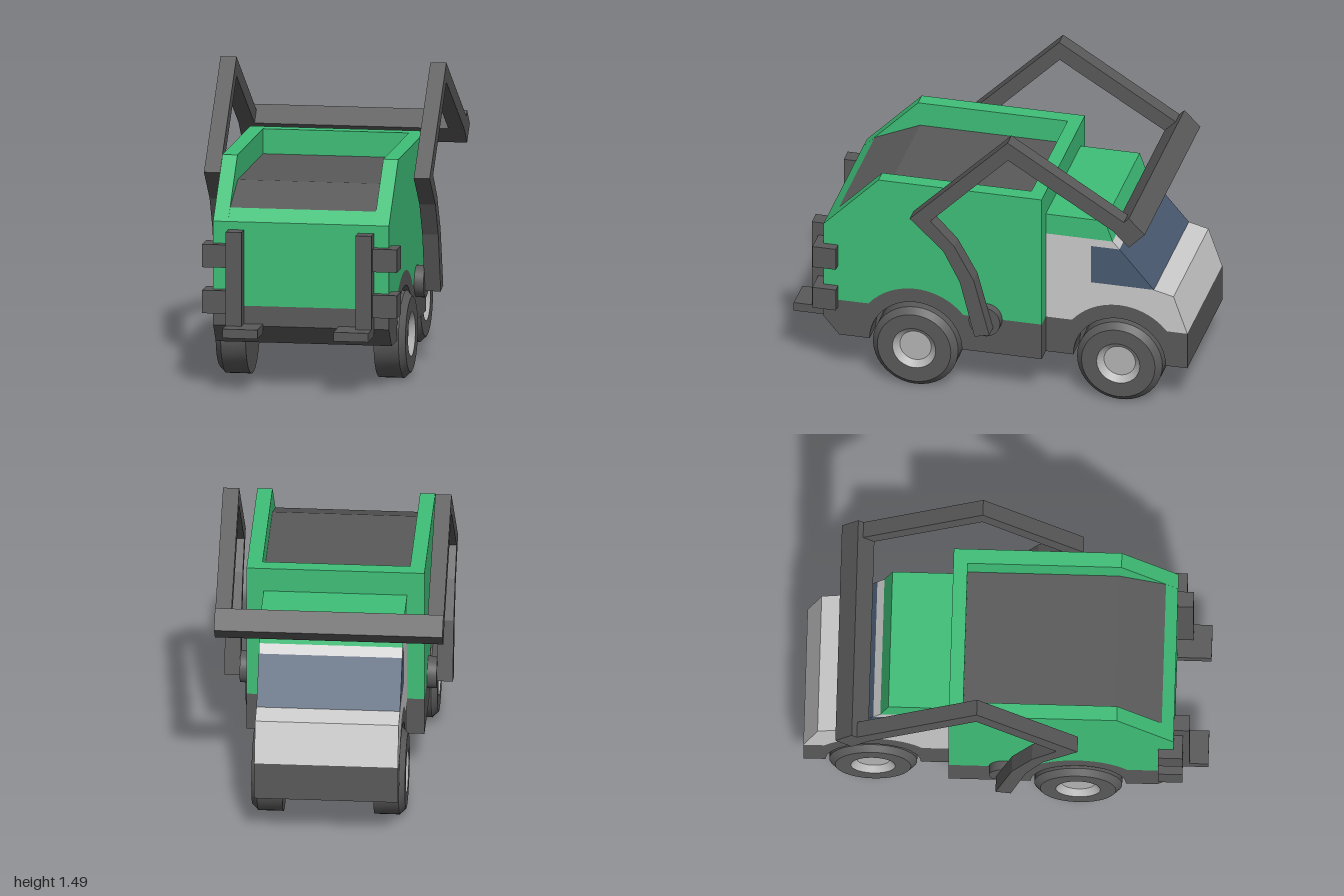
import * as THREE from 'three';
import { toCreasedNormals } from 'three/addons/utils/BufferGeometryUtils.js';

const paint = (color, flatShading = true) => new THREE.MeshStandardMaterial({ color, flatShading });
const WHEEL_Y = 0.225, ARCH_R = 0.31, WELL_R = 0.235, ARCH_A = Math.asin((0.42 - WHEEL_Y) / ARCH_R);
const REAR_Z = 0.36, CAB_Z = -0.655;

// Points of an arc around a wheel centre, as [z, y]
function arc(z, r, a0, a1, n = 24) {
  return Array.from({ length: n + 1 }, (_, i) => {
    const a = a0 + (a1 - a0) * i / n;
    return [z + r * Math.cos(a), WHEEL_Y + r * Math.sin(a)];
  });
}
const archOver = (z) => arc(z, ARCH_R, Math.PI - ARCH_A, ARCH_A);
const wheelWell = (z) => arc(z, WELL_R, 0, Math.PI);

export function createModel() {
  const model = new THREE.Group();
  const dark = paint(0x5a5a5a), green = paint(0x3fbf78), white = paint(0xd4d8d4);
  const glass = paint(0x4a5b72), tyre = paint(0x5a5a5a, false), metal = paint(0xb4b4b4, false);

  function add(name, geometry, material, parent = model) {
    const mesh = new THREE.Mesh(geometry, material);
    mesh.name = name;
    parent.add(mesh);
    return mesh;
  }
  // Side profile of [z, y] points, extruded from x0 to x1
  function prism(name, points, x0, x1, material) {
    const shape = new THREE.Shape(points.map(([z, y]) => new THREE.Vector2(z, y)));
    const g = new THREE.ExtrudeGeometry(shape, { depth: x1 - x0, bevelEnabled: false });
    g.rotateY(-Math.PI / 2).translate(x1, 0, 0);
    return add(name, g, material);
  }
  function pair(name, points, x0, x1, material) {
    prism(name + 'Left', points, x0, x1, material);
    prism(name + 'Right', points, -x1, -x0, material);
  }
  function box(name, x0, x1, y0, y1, z0, z1, material) {
    const g = new THREE.BoxGeometry(x1 - x0, y1 - y0, z1 - z0);
    add(name, g, material).position.set((x0 + x1) / 2, (y0 + y1) / 2, (z0 + z1) / 2);
  }

  // Chassis: solid core, with outer layers cut away around the wheels
  const rearChassis = (cut) => [[0.83, 0.42], [0.83, 0.32], [0.75, 0.225], ...cut,
    [-0.28, 0.225], [-0.28, 0.42], ...archOver(REAR_Z)];
  const cabChassis = (cut) => [[-0.28, 0.42], [-0.28, 0.225], ...cut,
    [-1, 0.225], [-1, 0.42], ...archOver(CAB_Z)];
  prism('rearChassis', rearChassis([]), -0.32, 0.32, dark);
  pair('rearWheelArch', rearChassis(wheelWell(REAR_Z)), 0.32, 0.44, dark);
  prism('cabChassis', cabChassis([]), -0.225, 0.225, dark);
  pair('cabWheelArch', cabChassis(wheelWell(CAB_Z)), 0.225, 0.355, dark);

  // Hopper body: tall side walls, a lower middle and a sunken lid
  const bodyBase = [[-0.28, 0.42], ...archOver(REAR_Z), [0.83, 0.42], [0.83, 0.84]];
  pair('hopperWall', [...bodyBase, [0.55, 1.125], [-0.28, 1.125]], 0.365, 0.44, green);
  prism('hopperBody', [...bodyBase, [0.77, 0.9], [-0.21, 0.9], [-0.21, 1.125], [-0.28, 1.125]],
    -0.365, 0.365, green);
  prism('hopperLid', [[0.77, 0.9], [0.54, 1], [-0.21, 1], [-0.21, 0.9]], -0.365, 0.365, dark);

  // Cab: white shell, wrap-around window and green roof
  prism('cabShell', [[-1, 0.42], ...archOver(CAB_Z), [-0.28, 0.42], [-0.28, 0.89], [-0.62, 0.89],
    [-0.655, 0.85], [-0.51, 0.85], [-0.51, 0.645], [-0.83, 0.645], [-0.93, 0.62]], -0.355, 0.355, white);
  prism('cabWindow', [[-0.51, 0.85], [-0.655, 0.85], [-0.83, 0.645], [-0.51, 0.645]], -0.355, 0.355, glass);
  prism('cabRoof', [[-0.28, 0.89], [-0.28, 1], [-0.58, 1], [-0.62, 0.89]], -0.355, 0.355, green);

  // Wheels: bevelled tyre and dished hub
  const lathe = (pts) => toCreasedNormals(new THREE.LatheGeometry(
    pts.map(([r, h]) => new THREE.Vector2(r, h)), 40).rotateZ(-Math.PI / 2), 0.4);
  const tyreGeo = lathe([[0, 0], [0.217, 0], [0.217, 0.125], [0.187, 0.155], [0.11, 0.155]]);
  const hubGeo = lathe([[0.11, 0.155], [0.08, 0.125], [0, 0.125]]);
  for (const [name, z, x] of [['rearWheel', REAR_Z, 0.32], ['cabWheel', CAB_Z, 0.225]]) {
    for (const s of [1, -1]) {
      const wheel = new THREE.Group();
      wheel.name = name + (s > 0 ? 'Left' : 'Right');
      wheel.position.set(s * x, 0.219, z);
      wheel.rotation.y = s > 0 ? 0 : Math.PI;
      add('tyre', tyreGeo, tyre, wheel);
      add('hub', hubGeo, metal, wheel);
      model.add(wheel);
    }
  }

  // Lifting arms, pivots and cross bar
  pair('liftArm', [[0.03, 0.378], [0.105, 0.675], [0.19, 0.84], [0.36, 1], [-0.138, 1.495],
    [-0.74, 1.12], [-0.69, 1.06], [-0.14, 1.397], [0.255, 1], [0.135, 0.875], [0.035, 0.695],
    [-0.045, 0.396]], 0.485, 0.565, dark);
  for (const s of [1, -1]) {
    const g = toCreasedNormals(new THREE.CylinderGeometry(0.08, 0.08, 0.05, 32).rotateZ(Math.PI / 2), 0.6);
    add(s > 0 ? 'armPivotLeft' : 'armPivotRight', g, tyre).position.set(s * 0.462, 0.422, 0);
  }
  prism('crossBar', [[-0.755, 1.152], [-0.836, 1.07], [-0.755, 0.988], [-0.674, 1.07]], -0.565, 0.565, dark);

  // Loading forks with brackets
  for (const s of [1, -1]) {
    const side = s > 0 ? 'Left' : 'Right';
    const part = (name, a, b, ...rest) => box(name + side, Math.min(s * a, s * b), Math.max(s * a, s * b), ...rest, dark);
    part('forkPost', 0.285, 0.365, 0.33, 0.8, 0.83, 0.908);
    part('forkFoot', 0.19, 0.365, 0.285, 0.33, 0.83, 1);
    part('upperBracket', 0.365, 0.487, 0.615, 0.73, 0.755, 0.875);
    part('lowerBracket', 0.365, 0.487, 0.385, 0.5, 0.755, 0.875);
  }
  return model;
}
